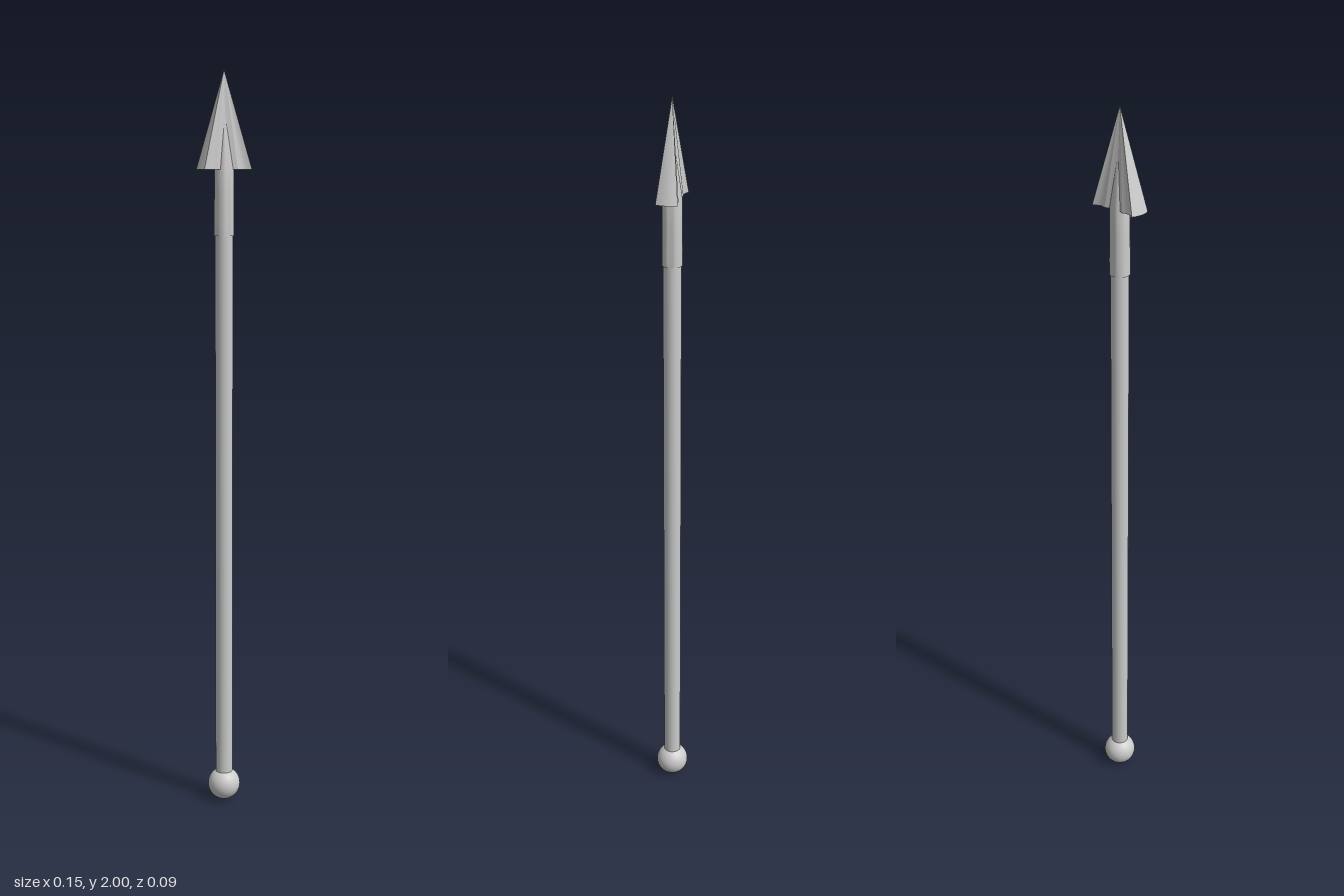
import * as THREE from 'three';
import { toCreasedNormals } from 'three/addons/utils/BufferGeometryUtils.js';

const material = new THREE.MeshStandardMaterial({ color: 0xcccccc, side: THREE.DoubleSide });

// Fluted, bow-tie cross-section at the base of the spearhead
function headSection() {
  const quarter = [[0.073, 0], [0.0715, 0.014], [0.067, 0.028], [0.056, 0.022],
    [0.045, 0.019], [0.03, 0.022], [0.015, 0.017], [0, 0.013]];
  const half = [...quarter, ...quarter.slice(0, -1).reverse().map(([x, z]) => [-x, z])];
  return [...half, ...half.slice(1, -1).reverse().map(([x, z]) => [x, -z])];
}

// Section swept straight to the tip, closed underneath
function headGeometry(base, tip) {
  const ring = headSection();
  const positions = [];
  ring.forEach(([x, z], i) => {
    const [nx, nz] = ring[(i + 1) % ring.length];
    positions.push(x, base, z, 0, tip, 0, nx, base, nz);
    positions.push(x, base, z, nx, base, nz, 0, base, 0);
  });
  const geometry = new THREE.BufferGeometry();
  geometry.setAttribute('position', new THREE.Float32BufferAttribute(positions, 3));
  geometry.computeVertexNormals();
  return toCreasedNormals(geometry, 0.5);
}

function lathe(points, sides = 24) {
  const profile = points.map(([r, y]) => new THREE.Vector2(r, y));
  return toCreasedNormals(new THREE.LatheGeometry(profile, sides), 0.6);
}

export function createModel() {
  const group = new THREE.Group();
  const add = (name, geometry, y = 0) => {
    const mesh = new THREE.Mesh(geometry, material);
    mesh.name = name;
    mesh.position.y = y;
    group.add(mesh);
  };

  // Round butt at the foot of the shaft
  add('pommel', new THREE.SphereGeometry(0.045, 32, 20), 0.045);
  add('shaft', new THREE.CylinderGeometry(0.0235, 0.0235, 1.53, 24), 0.835);

  // Socket sleeve whose pointed end fills the grooves of the head
  add('socket', lathe([[0, 1.58], [0.0265, 1.58], [0.0265, 1.62], [0.0255, 1.68],
    [0.0255, 1.75], [0.006, 1.88], [0, 1.885]]));
  add('spearhead', headGeometry(1.75, 2));
  return group;
}
